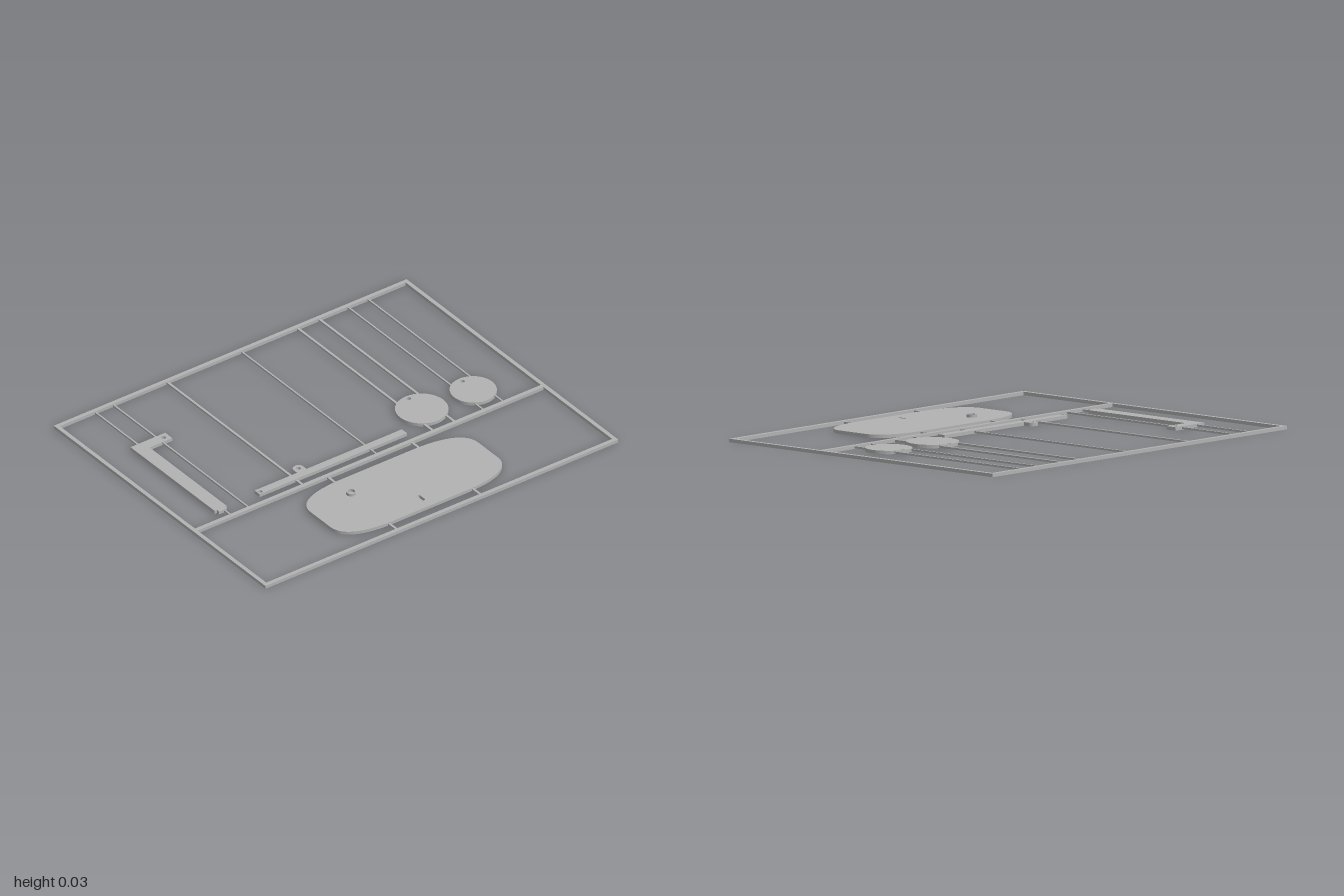
import * as THREE from 'three';

const T = 0.016; // sheet thickness

export function createModel() {
  const model = new THREE.Group();
  model.name = 'partsFrame';
  const grey = new THREE.MeshStandardMaterial({ color: 0xb2b2b2 });
  grey.name = 'grey plastic';

  const add = (name, geometry) => {
    const mesh = new THREE.Mesh(geometry, grey);
    mesh.name = name;
    model.add(mesh);
    return mesh;
  };
  // box given by its plan extents and heights
  const bar = (name, x0, x1, z0, z1, y0 = 0, y1 = T) =>
    add(name, new THREE.BoxGeometry(x1 - x0, y1 - y0, z1 - z0))
      .position.set((x0 + x1) / 2, (y0 + y1) / 2, (z0 + z1) / 2);
  // flat plate: the shape is drawn in (x, -z) and laid down
  const plate = (name, shape, y = 0, depth = T) => {
    const g = new THREE.ExtrudeGeometry(shape, { depth, bevelEnabled: false, curveSegments: 24 });
    add(name, g.rotateX(-Math.PI / 2).translate(0, y, 0));
  };
  const circle = (Type, x, z, r) => new Type().absarc(x, -z, r, 0, Math.PI * 2, false);
  const hole = (shape, x, z, r) => shape.holes.push(circle(THREE.Path, x, z, r));
  const polygon = (points) => new THREE.Shape(points.map(([x, z]) => new THREE.Vector2(x, -z)));

  // outer frame and cross rail
  for (const z of [-0.8, 0.8]) bar('frameRail', -1, 1, z - 0.01, z + 0.01);
  for (const x of [-0.99, 0.99]) bar('frameSide', x - 0.01, x + 0.01, -0.79, 0.79);
  bar('crossRail', -0.98, 0.98, 0.244, 0.265);

  // thin runners: x, width, then spans along z between the rails and parts
  const runners = [
    [-0.778, 0.008, [-0.79, -0.46], [0.198, 0.245]],
    [-0.676, 0.008, [-0.79, -0.46], [-0.41, 0.245]],
    [-0.369, 0.012, [-0.79, 0.16], [0.193, 0.245]],
    [0.05, 0.008, [-0.79, 0.16], [0.193, 0.245]],
    [0.369, 0.012, [-0.79, -0.02], [0.17, 0.245]],
    [0.492, 0.012, [-0.79, -0.02], [0.17, 0.245]],
    [0.655, 0.008, [-0.79, 0.01], [0.17, 0.245]],
    [0.767, 0.008, [-0.79, 0.01], [0.17, 0.245]],
    [-0.24, 0.012, [0.264, 0.33], [0.72, 0.791]],
    [0.235, 0.012, [0.264, 0.33], [0.72, 0.791]],
  ];
  for (const [x, w, ...spans] of runners)
    for (const [z0, z1] of spans) bar('runner', x - w / 2, x + w / 2, z0, z1, 0.003, 0.012);

  // round discs with a small hole
  for (const [x, z, r, hz] of [[0.43, 0.075, 0.122, -0.025], [0.711, 0.09, 0.108, 0.007]]) {
    const disc = circle(THREE.Shape, x, z, r);
    hole(disc, x, hz, 0.011);
    plate('disc', disc);
  }

  // angled arm with an end tab
  const arm = polygon([[-0.823, -0.462], [-0.626, -0.462], [-0.626, -0.408], [-0.754, -0.408],
    [-0.754, 0.183], [-0.767, 0.183], [-0.767, 0.199], [-0.81, 0.199], [-0.81, 0.183], [-0.823, 0.183]]);
  hole(arm, -0.655, -0.435, 0.011);
  plate('angledArm', arm);

  // long lever with a rounded lug
  const lever = new THREE.Shape();
  lever.moveTo(-0.578, -0.196);
  lever.lineTo(0.257, -0.196);
  lever.lineTo(0.257, -0.157);
  lever.lineTo(-0.283, -0.157);
  lever.absarc(-0.31, -0.132, 0.027, 0, Math.PI, false);
  lever.lineTo(-0.337, -0.157);
  lever.lineTo(-0.578, -0.157);
  hole(lever, -0.562, 0.179, 0.01);
  hole(lever, -0.31, 0.131, 0.011);
  plate('lever', lever);

  // large base plate with soft elliptical corners and a slot
  const cx = -0.002, cz = -0.525, w = 0.475, h = 0.206;
  const base = new THREE.Shape();
  base.moveTo(cx - 0.2, cz - h);
  base.lineTo(cx + 0.2, cz - h);
  base.bezierCurveTo(cx + 0.37, cz - h, cx + w, cz - 0.165, cx + w, cz - 0.075);
  base.lineTo(cx + w, cz + 0.075);
  base.bezierCurveTo(cx + w, cz + 0.165, cx + 0.37, cz + h, cx + 0.2, cz + h);
  base.lineTo(cx - 0.2, cz + h);
  base.bezierCurveTo(cx - 0.37, cz + h, cx - w, cz + 0.165, cx - w, cz + 0.075);
  base.lineTo(cx - w, cz - 0.075);
  base.bezierCurveTo(cx - w, cz - 0.165, cx - 0.37, cz - h, cx - 0.2, cz - h);
  base.holes.push(new THREE.Path([[-0.01, -0.68], [0.004, -0.68], [0.004, -0.632], [-0.01, -0.632]]
    .map(([x, y]) => new THREE.Vector2(x, y))));
  plate('basePlate', base);

  // raised ring on the base plate
  const ring = circle(THREE.Shape, -0.24, 0.44, 0.023);
  hole(ring, -0.24, 0.44, 0.017);
  plate('pivotRing', ring, T, 0.014);

  return model;
}
